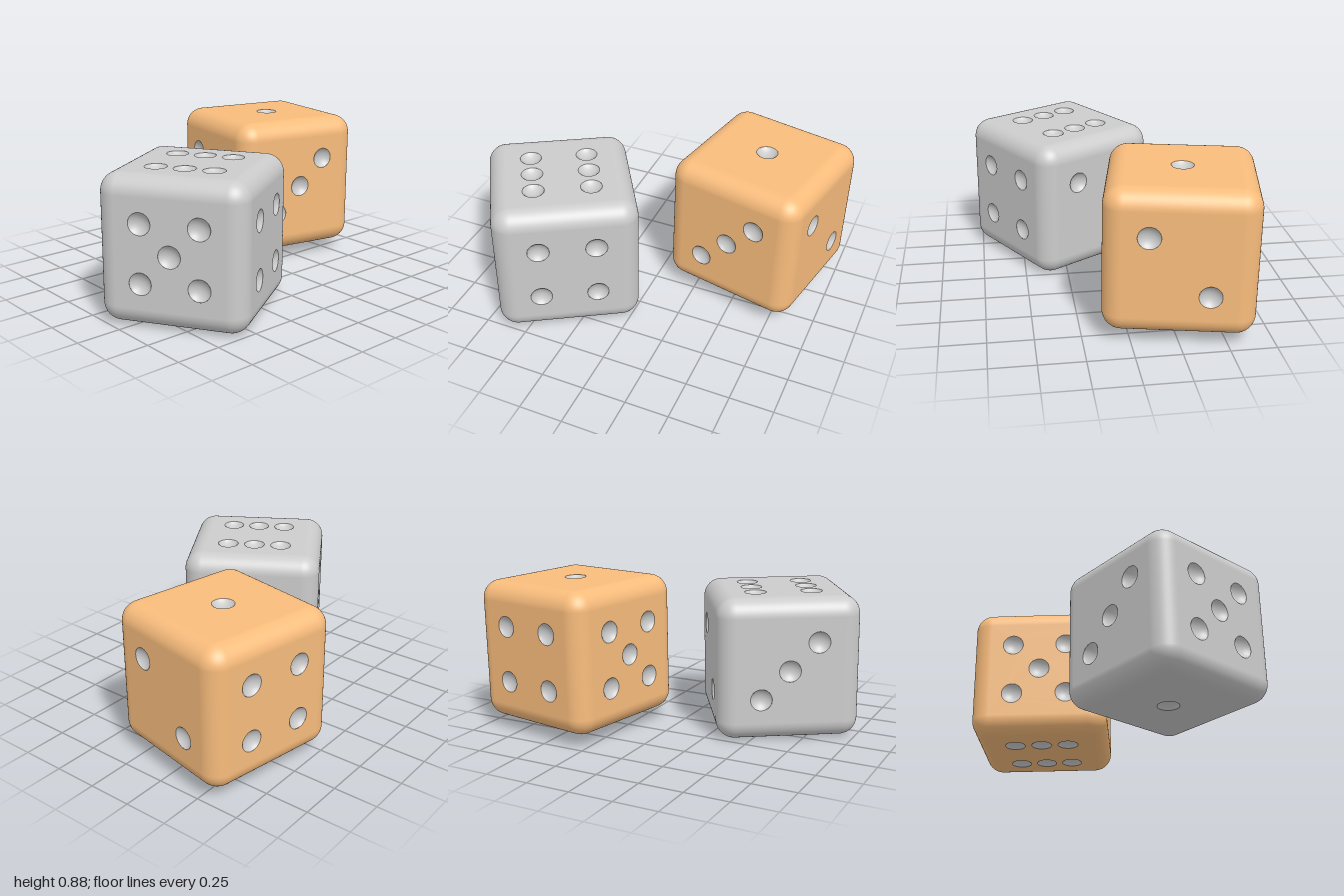
import * as THREE from 'three';
import { RoundedBoxGeometry } from 'three/addons/geometries/RoundedBoxGeometry.js';
import { mergeGeometries } from 'three/addons/utils/BufferGeometryUtils.js';

const HALF = 0.403, ROUND = 0.105, FLAT = HALF - ROUND;
const PIP_R = 0.061, PIP_DEPTH = 0.03, STEP = 0.16, SIDES = 32;

// Pip layouts on a face, in steps from its centre
const diagonal = [[-1, -1], [1, 1]];
const corners = [...diagonal, [-1, 1], [1, -1]];
const layouts = {
  1: [[0, 0]],
  2: diagonal.map(([x, y]) => [-x, y]),
  3: [...diagonal, [0, 0]],
  4: corners,
  5: [...corners, [0, 0]],
  6: [...corners, [-1, 0], [1, 0]],
};

// Each face is made facing +z, then turned: [value, turn about x, turn about y]
const Q = Math.PI / 2;
const faces = [[3, 0, 0], [2, 0, Q], [4, 0, 2 * Q], [5, 0, -Q], [1, -Q, 0], [6, Q, 0]];

// Rounded edges and corners: a rounded box without its six flat panels
function edgeGeometry() {
  const box = new RoundedBoxGeometry(2 * HALF, 2 * HALF, 2 * HALF, 8, ROUND);
  const src = box.index ? box.toNonIndexed() : box;
  const p = src.attributes.position, n = src.attributes.normal;
  const pos = [], nor = [];
  for (let t = 0; t < p.count; t += 3) {
    const ids = [t, t + 1, t + 2];
    const isFlat = [0, 1, 2].some((axis) =>
      [-1, 1].some((s) => ids.every((i) => Math.abs(p.getComponent(i, axis) - s * HALF) < 1e-5)));
    if (isFlat) continue;
    for (const i of ids) {
      pos.push(p.getX(i), p.getY(i), p.getZ(i));
      nor.push(n.getX(i), n.getY(i), n.getZ(i));
    }
  }
  const g = new THREE.BufferGeometry();
  g.setAttribute('position', new THREE.Float32BufferAttribute(pos, 3));
  g.setAttribute('normal', new THREE.Float32BufferAttribute(nor, 3));
  return g;
}

// Flat panel with a round hole for every pip
function panelGeometry(value) {
  const shape = new THREE.Shape([[-1, -1], [1, -1], [1, 1], [-1, 1]]
    .map(([x, y]) => new THREE.Vector2(x * FLAT, y * FLAT)));
  for (const [x, y] of layouts[value]) {
    shape.holes.push(new THREE.Path().absarc(x * STEP, y * STEP, PIP_R, 0, Math.PI * 2, true));
  }
  const g = new THREE.ShapeGeometry(shape, SIDES).toNonIndexed();
  g.deleteAttribute('uv');
  return g.translate(0, 0, HALF);
}

// Shallow spherical dish, listed rim to centre so it faces outwards
function dishGeometry() {
  const R = (PIP_R ** 2 + PIP_DEPTH ** 2) / (2 * PIP_DEPTH);
  const a = Math.asin(PIP_R / R), points = [];
  for (let i = 8; i >= 0; i--) {
    const t = (a * i) / 8;
    points.push(new THREE.Vector2(R * Math.sin(t), R - PIP_DEPTH - R * Math.cos(t)));
  }
  return new THREE.LatheGeometry(points, SIDES).rotateX(Q);
}

function makeDie(name, color) {
  const die = new THREE.Group();
  die.name = name;
  const bodyParts = [edgeGeometry()], pipParts = [];
  for (const [value, rx, ry] of faces) {
    const turn = (g) => g.rotateX(rx).rotateY(ry);
    bodyParts.push(turn(panelGeometry(value)));
    for (const [x, y] of layouts[value]) {
      pipParts.push(turn(dishGeometry().translate(x * STEP, y * STEP, HALF)));
    }
  }
  const body = new THREE.Mesh(mergeGeometries(bodyParts), new THREE.MeshStandardMaterial({ color }));
  body.name = 'dieBody';
  const pips = new THREE.Mesh(mergeGeometries(pipParts), new THREE.MeshStandardMaterial({ color: 0xcccccc }));
  pips.name = 'pips';
  die.add(body, pips);
  return die;
}

// Place a die: turned about the vertical first, then tilted slightly
function place(die, position, turn, tiltX, tiltZ) {
  const holder = new THREE.Group();
  const rad = THREE.MathUtils.degToRad;
  holder.name = die.name + 'Placement';
  holder.position.set(...position);
  holder.rotation.set(rad(tiltX), rad(turn), rad(tiltZ), 'XZY');
  holder.add(die);
  return holder;
}

export function createModel() {
  const model = new THREE.Group();
  model.name = 'pairOfDice';
  const greyDie = makeDie('greyDie', 0xcccccc);
  greyDie.rotation.x = Math.PI; // six on top
  const orangeDie = makeDie('orangeDie', 0xf8bc7c);
  model.add(
    place(greyDie, [-0.485, 0.408, 0.25], 31.7, -0.4, -0.5),
    place(orangeDie, [0.545, 0.469, -0.312], -11.2, -0.4, -0.7),
  );
  return model;
}
